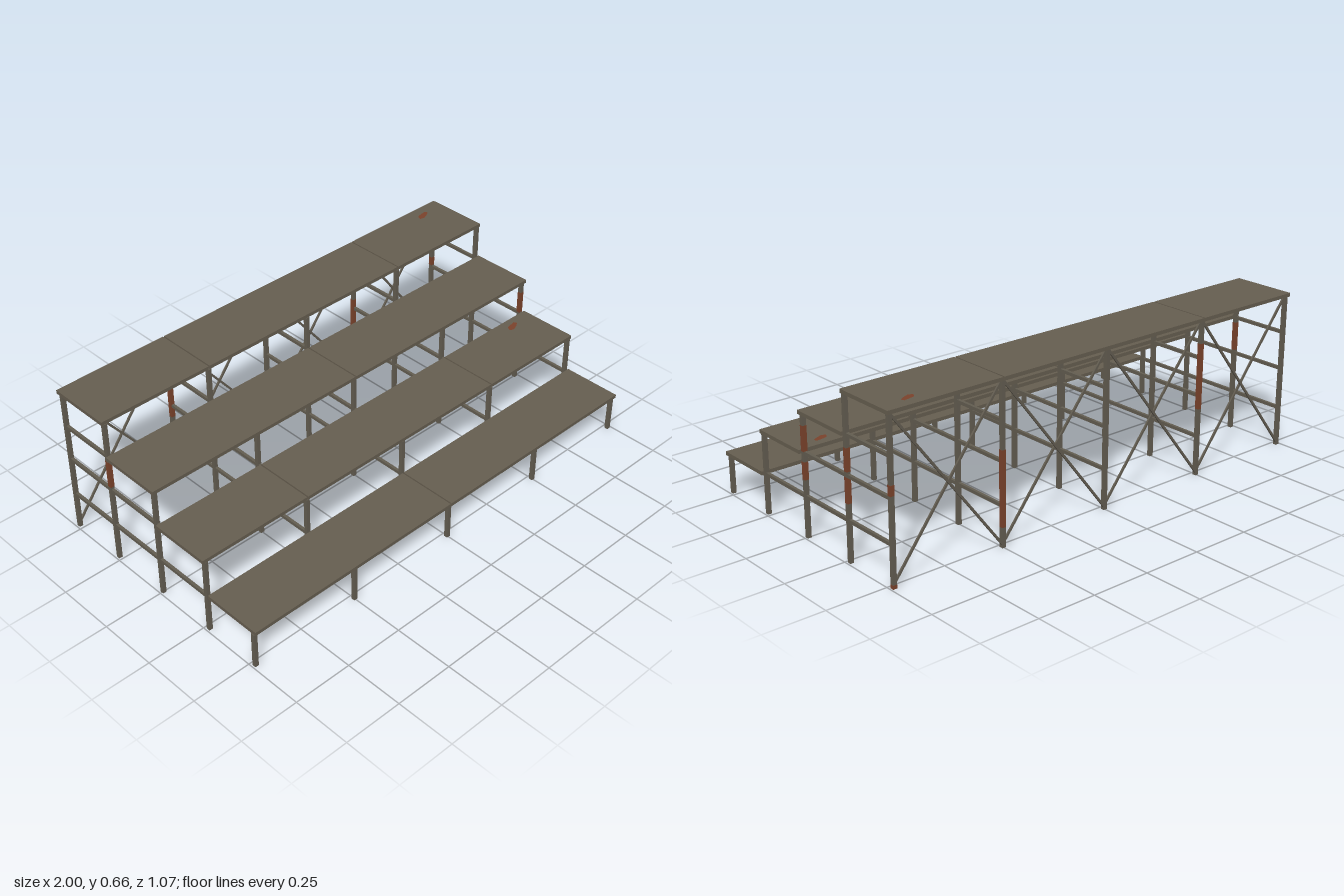
import * as THREE from 'three';

export function createModel() {
  const model = new THREE.Group();
  const deckPaint = new THREE.MeshStandardMaterial({ color: 0x655d4f });
  deckPaint.name = 'weathered deck';
  const steel = new THREE.MeshStandardMaterial({ color: 0x625c50 });
  steel.name = 'dull steel';
  const rust = new THREE.MeshStandardMaterial({ color: 0x7a422b });
  rust.name = 'rust';

  function box(name, mat, w, h, d, x, y, z) {
    const mesh = new THREE.Mesh(new THREE.BoxGeometry(w, h, d), mat);
    mesh.name = name;
    mesh.position.set(x, y, z);
    model.add(mesh);
    return mesh;
  }

  const frames = [-0.985, -0.5, 0, 0.5, 0.985];
  const legZ = [0.52, 0.268, 0, -0.267, -0.52];
  const topY = [0.172, 0.343, 0.498, 0.656];
  const edges = [0.535, 0.276, 0.013, -0.26, -0.535];
  const thick = 0.015, leg = 0.016, gap = 0.006;

  // Stepped decks, with joints alternating between rows
  topY.forEach((y, i) => {
    const cuts = i % 2 ? [-1, -0.503, 0.5, 1] : [i ? -1 : -0.99, -0.003, 1];
    for (let k = 0; k < cuts.length - 1; k++) {
      const a = cuts[k] + (k ? gap : 0), b = cuts[k + 1];
      const d = edges[i] - edges[i + 1] - 0.002;
      box('deck', deckPaint, b - a, thick, d, (a + b) / 2, y - thick / 2, (edges[i] + edges[i + 1]) / 2);
    }
  });

  // Transverse frames: legs and horizontal rails
  for (const x of frames) {
    legZ.forEach((z, i) => {
      const h = topY[Math.min(i, 3)] - thick;
      box('leg', steel, leg, h, leg, x, h / 2, z);
    });
    for (let i = 0; i < 3; i++) {
      const front = edges[i + 1], back = legZ[4];
      box('rail', steel, 0.012, 0.013, front - back, x, topY[i] - 0.008, (front + back) / 2);
    }
  }

  // Crossed braces between the rear legs
  for (let i = 0; i < 4; i++) {
    for (const side of [1, -1]) {
      const dx = frames[i + 1] - frames[i], dy = 0.632;
      const brace = box('brace', steel, Math.hypot(dx, dy), 0.009, 0.007,
        (frames[i] + frames[i + 1]) / 2, 0.324, legZ[4] - side * 0.004);
      brace.rotation.z = side * Math.atan2(dy, dx);
    }
  }

  // Rust sleeves on the legs: x, z, bottom, top
  const sleeves = [
    [0.985, 0, 0.34, 0.44], [0.985, 0, 0.23, 0.3],
    [0.985, -0.267, 0.35, 0.44], [0.985, -0.267, 0.23, 0.33],
    [0.985, -0.52, 0.345, 0.385], [0.985, -0.52, 0, 0.015],
    [0.5, -0.52, 0.08, 0.38], [-0.5, -0.52, 0.28, 0.55],
    [-0.985, -0.267, 0.35, 0.47]
  ];
  for (const [x, z, lo, hi] of sleeves) {
    box('rustPatch', rust, leg + 0.001, hi - lo, leg + 0.001, x, (lo + hi) / 2, z);
  }

  // Rust stains on the decks
  for (const [y, z] of [[topY[3], -0.477], [topY[1], 0.06]]) {
    const stain = new THREE.Shape([
      [-0.032, -0.012], [-0.012, -0.018], [0.014, -0.008], [0.032, 0.004],
      [0.026, 0.017], [0, 0.013], [-0.022, 0.008]
    ].map(([a, b]) => new THREE.Vector2(a, b)));
    const mesh = new THREE.Mesh(new THREE.ShapeGeometry(stain), rust);
    mesh.name = 'rustStain';
    mesh.rotation.x = -Math.PI / 2;
    mesh.position.set(0.875, y + 0.001, z);
    model.add(mesh);
  }
  return model;
}
